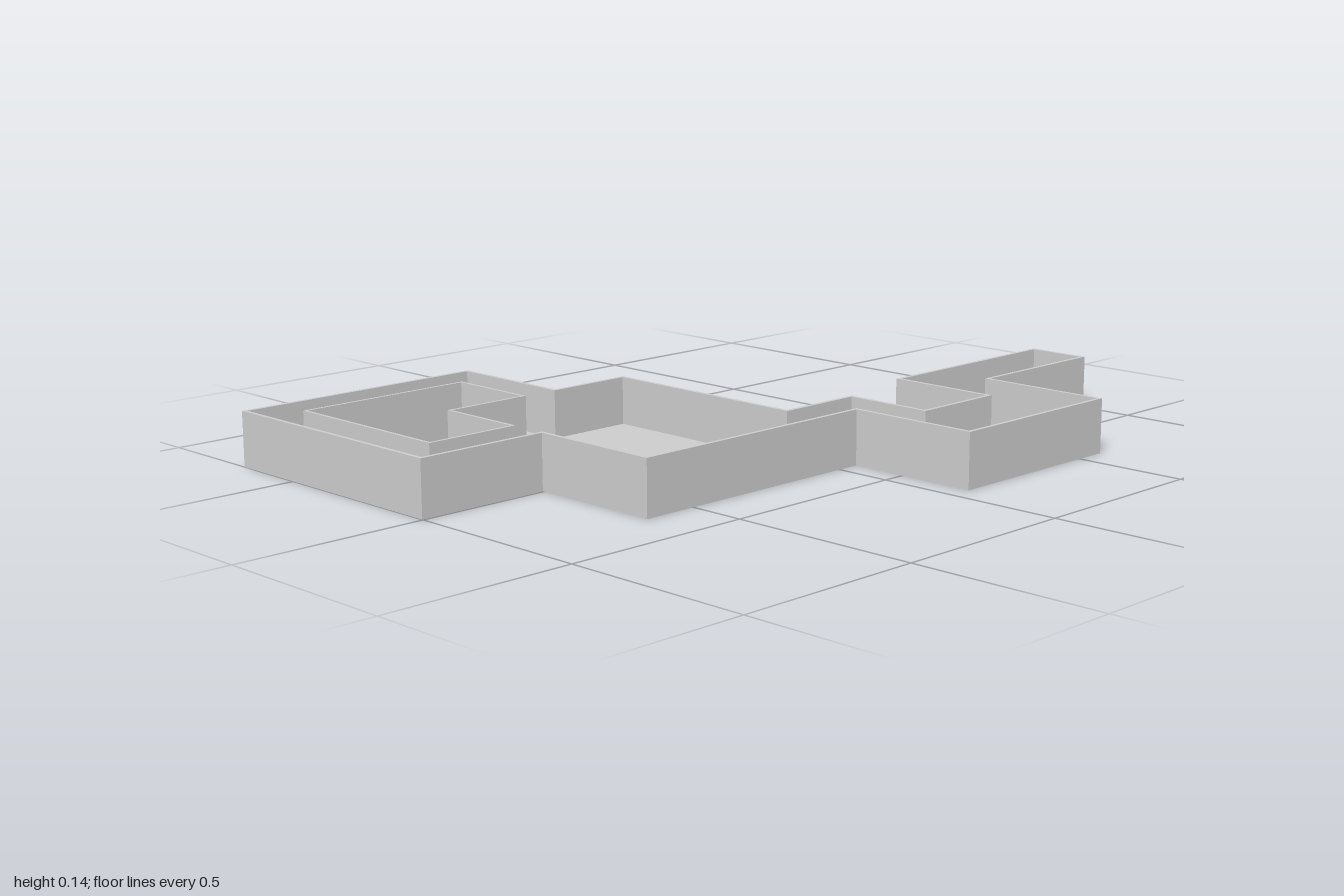
import * as THREE from 'three';

const HEIGHT = 0.141, FLOOR = 0.016, WALL = 0.01, COURTYARD_WALL = 0.008;

// Plan outlines as [x, z] corners, both in the same turning direction
const OUTER = [
  [-1, -0.705], [-0.298, -0.705], [-0.298, -0.354], [-0.063, -0.354], [-0.063, 0.235], [0.173, 0.235],
  [0.173, 0.475], [0.413, 0.475], [0.413, 0.179], [1, 0.179], [1, 0.353], [0.586, 0.353],
  [0.586, 0.705], [0.06, 0.705], [0.06, 0.353], [-0.645, 0.353], [-0.645, -0.003], [-1, -0.003],
];
const COURTYARD = [
  [-0.886, -0.593], [-0.41, -0.593], [-0.41, -0.354], [-0.645, -0.354], [-0.645, -0.115], [-0.886, -0.115],
];

// Moves every edge of a right-angled outline inward by d (outward if negative)
function inset(points, d) {
  const n = points.length;
  const normal = (a, b) => {
    const dx = b[0] - a[0], dz = b[1] - a[1], len = Math.hypot(dx, dz);
    return [-dz / len, dx / len];
  };
  return points.map((p, i) => {
    const n1 = normal(points[(i + n - 1) % n], p);
    const n2 = normal(p, points[(i + 1) % n]);
    return [p[0] + d * (n1[0] + n2[0]), p[1] + d * (n1[1] + n2[1])];
  });
}

// Extrudes a plan outline with a hole upward from the ground
function slab(name, outline, hole, height, material) {
  const toVectors = (pts) => pts.map(([x, z]) => new THREE.Vector2(x, -z));
  const shape = new THREE.Shape(toVectors(outline));
  // The hole runs the opposite way so its walls face into the opening
  shape.holes.push(new THREE.Path(toVectors(hole).reverse()));
  const geometry = new THREE.ExtrudeGeometry(shape, { depth: height, bevelEnabled: false });
  geometry.rotateX(-Math.PI / 2);
  const mesh = new THREE.Mesh(geometry, material);
  mesh.name = name;
  return mesh;
}

export function createModel() {
  const group = new THREE.Group();
  group.name = 'floorPlan';
  const material = new THREE.MeshStandardMaterial({ color: 0xcccccc });
  const innerOutline = inset(OUTER, WALL);
  const courtyardWall = inset(COURTYARD, -COURTYARD_WALL);

  // Thin floor running through rooms and corridors
  group.add(slab('floor', innerOutline, courtyardWall, FLOOR, material));
  // Wall around the whole plan
  group.add(slab('outerWall', OUTER, innerOutline, HEIGHT, material));
  // Wall around the open courtyard
  group.add(slab('courtyardWall', courtyardWall, COURTYARD, HEIGHT, material));
  return group;
}
